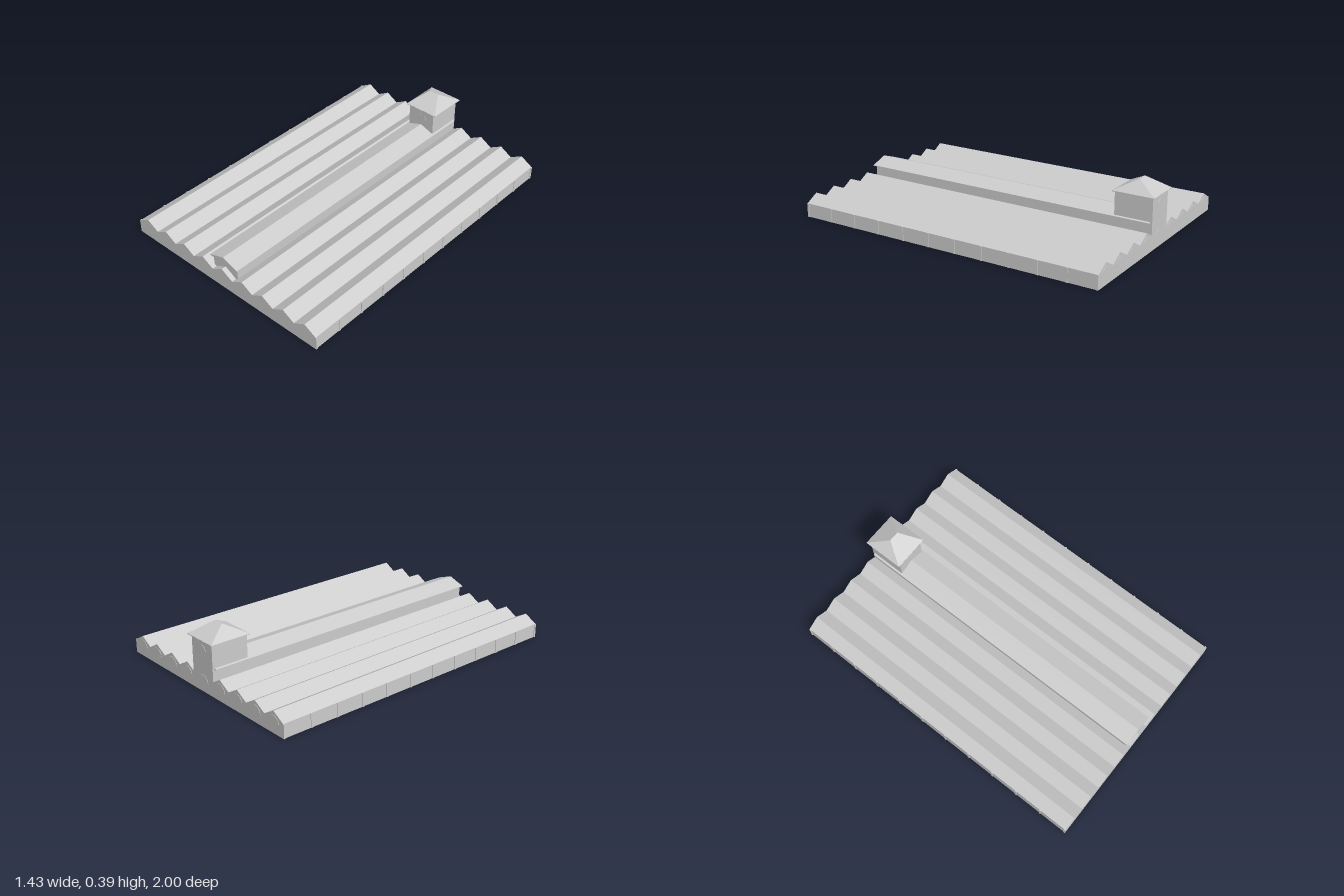
import * as THREE from 'three';

export function createModel() {
  const model = new THREE.Group();
  model.name = 'sawtoothHall';
  const grey = new THREE.MeshStandardMaterial({ color: 0xcccccc });
  grey.name = 'plain grey';

  const add = (name, geometry, x = 0, y = 0, z = 0) => {
    const mesh = new THREE.Mesh(geometry, grey);
    mesh.name = name;
    mesh.position.set(x, y, z);
    model.add(mesh);
    return mesh;
  };
  // Extrudes an xy outline from zMin to zMax
  const prism = (name, points, zMin, zMax) => {
    const shape = new THREE.Shape(points.map(([x, y]) => new THREE.Vector2(x, y)));
    return add(name, new THREE.ExtrudeGeometry(shape, { depth: zMax - zMin, bevelEnabled: false }), 0, 0, zMin);
  };
  const box = (name, w, h, d, x, y, z) => add(name, new THREE.BoxGeometry(w, h, d), x, y, z);

  const half = 0.71, back = -0.985, front = 1, bays = 9;
  const eave = 0.085, peak = 0.13, pitch = (2 * half) / bays;

  // Hall with a row of parallel gabled roofs
  const outline = [[-half, 0], [half, 0], [half, eave]];
  for (let i = 0; i < bays; i++) {
    const x = half - i * pitch;
    outline.push([x - pitch / 2, peak], [x - pitch, eave]);
  }
  prism('hall', outline, back, front);

  // Slim pilasters on both long walls
  const sections = 11;
  for (const side of [-1, 1]) {
    for (let i = 0; i <= sections; i++) {
      const z = THREE.MathUtils.lerp(back + 0.006, front - 0.006, i / sections);
      box('pilaster', 0.006, eave, 0.012, side * (half + 0.001), eave / 2, z);
    }
  }

  // Thin arched windows on the back wall and on the tower
  const arch = (name, r, x, y, z) => {
    const shape = new THREE.Shape();
    shape.absarc(0, 0, r, 0, Math.PI, false);
    shape.closePath();
    add(name, new THREE.ExtrudeGeometry(shape, { depth: 0.003, bevelEnabled: false, curveSegments: 8 }), x, y, z);
  };
  for (let i = 0; i < bays; i++) {
    arch('backWindow', 0.045, (i - (bays - 1) / 2) * pitch, 0.06, back - 0.002);
  }

  // Long raised skylight along the middle
  box('skylightWall', 0.19, 0.085, 1.945, 0, 0.1225, -0.0025);
  prism('skylightRoof', [[-0.107, 0.163], [0.107, 0.163], [0.107, 0.168], [0, 0.206], [-0.107, 0.168]], -0.972, 0.985);

  // Tower at the back
  box('tower', 0.19, 0.32, 0.235, 0, 0.16, -0.8675);
  arch('towerBackWindow', 0.035, 0, 0.25, back - 0.002);
  arch('towerFrontWindow', 0.035, 0, 0.25, -0.751);

  // Hipped tower roof: the top of a box drawn in to a short ridge
  const roof = new THREE.BoxGeometry(0.23, 0.07, 0.26).toNonIndexed();
  const p = roof.attributes.position;
  for (let i = 0; i < p.count; i++) {
    if (p.getY(i) > 0) p.setXYZ(i, Math.sign(p.getX(i)) * 0.033, p.getY(i), 0);
  }
  roof.computeVertexNormals();
  add('towerRoof', roof, 0, 0.355, -0.87);
  box('towerEave', 0.228, 0.006, 0.258, 0, 0.318, -0.87);

  return model;
}
